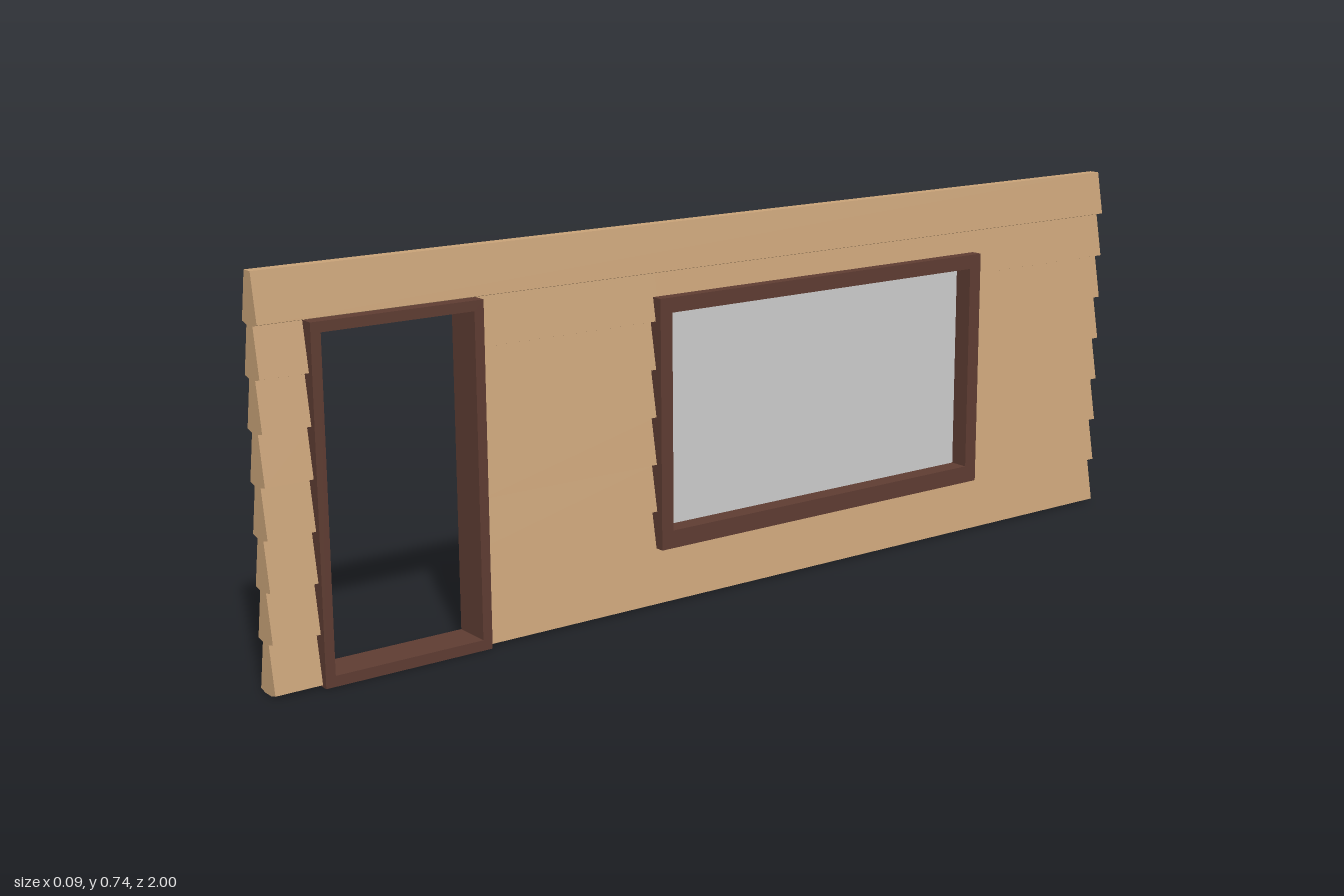
import * as THREE from 'three';

const wood = new THREE.MeshStandardMaterial({ color: 0xc8a278, flatShading: true });
const trim = new THREE.MeshStandardMaterial({ color: 0x5e3c32, flatShading: true });
const grey = new THREE.MeshStandardMaterial({ color: 0xcccccc, flatShading: true });

const ROWS = 8, PITCH = 0.735 / ROWS;
const WIDE = 0.027, NARROW = 0.011, LIP = 0.004;

// Openings: outer and inner limits of each frame, along z and y
const door = { z: [0.575, 0.91], y: [0, 0.643], iz: [0.594, 0.891], iy: [0.02, 0.624], depth: 0.077 };
const win = { z: [-0.622, 0.197], y: [0.114, 0.6], iz: [-0.593, 0.17], iy: [0.149, 0.571], depth: 0.085 };

// Piece of a siding board in one row, between z0..z1 and local heights lo..hi
function board(row, z0, z1, lo = 0, hi = PITCH) {
  const half = (y) => WIDE + (NARROW - WIDE) * (y - LIP) / (PITCH - LIP);
  const right = lo < LIP ? [[NARROW, 0], [WIDE, LIP]] : [[half(lo), lo]];
  right.push([half(hi), hi]);
  const left = right.map(([x, y]) => [-x, y]).reverse();
  const shape = new THREE.Shape([...right, ...left].map(([x, y]) => new THREE.Vector2(x, y)));
  const mesh = new THREE.Mesh(new THREE.ExtrudeGeometry(shape, { depth: z1 - z0, bevelEnabled: false }), wood);
  mesh.position.set(0, row * PITCH, z0);
  mesh.name = 'sidingBoard';
  return mesh;
}

// Rectangular frame with a rectangular hole, facing along x
function frame(name, o) {
  const rect = (Type, [z0, z1], [y0, y1]) => new Type([
    new THREE.Vector2(z0, y0), new THREE.Vector2(z1, y0),
    new THREE.Vector2(z1, y1), new THREE.Vector2(z0, y1)]);
  const shape = rect(THREE.Shape, o.z, o.y);
  shape.holes.push(rect(THREE.Path, o.iz, o.iy));
  const geo = new THREE.ExtrudeGeometry(shape, { depth: o.depth, bevelEnabled: false });
  geo.translate(0, 0, -o.depth / 2).rotateY(-Math.PI / 2);
  const mesh = new THREE.Mesh(geo, trim);
  mesh.name = name;
  return mesh;
}

export function createModel() {
  const model = new THREE.Group();
  model.name = 'wallPanel';

  // Siding, cut around the openings; the cuts lie hidden inside the frames
  const siding = new THREE.Group();
  siding.name = 'siding';
  const cut = 0.01;
  const dz = [door.z[0] + cut, door.z[1] - cut];
  const wz = [win.z[0] + cut, win.z[1] - cut], wy = [win.y[0] + cut, win.y[1] - cut];
  for (let row = 0; row < ROWS; row++) {
    const y0 = row * PITCH, y1 = y0 + PITCH;
    if (row === ROWS - 1) {
      siding.add(board(row, -1, 1));
      continue;
    }
    siding.add(board(row, dz[1], 1));
    if (y1 <= wy[0] || y0 >= wy[1]) {
      siding.add(board(row, -1, dz[0]));
      continue;
    }
    siding.add(board(row, -1, wz[0]), board(row, wz[1], dz[0]));
    if (y0 < wy[0]) siding.add(board(row, wz[0], wz[1], 0, wy[0] - y0));
    if (y1 > wy[1]) siding.add(board(row, wz[0], wz[1], wy[1] - y0, PITCH));
  }
  model.add(siding);

  // Door and window frames
  model.add(frame('doorFrame', door), frame('windowFrame', win));

  // Window pane in the middle of the wall
  const pane = new THREE.Mesh(
    new THREE.BoxGeometry(0.006, win.iy[1] - win.iy[0] + 0.01, win.iz[1] - win.iz[0] + 0.01), grey);
  pane.position.set(0, (win.iy[0] + win.iy[1]) / 2, (win.iz[0] + win.iz[1]) / 2);
  pane.name = 'windowPane';
  model.add(pane);

  return model;
}
